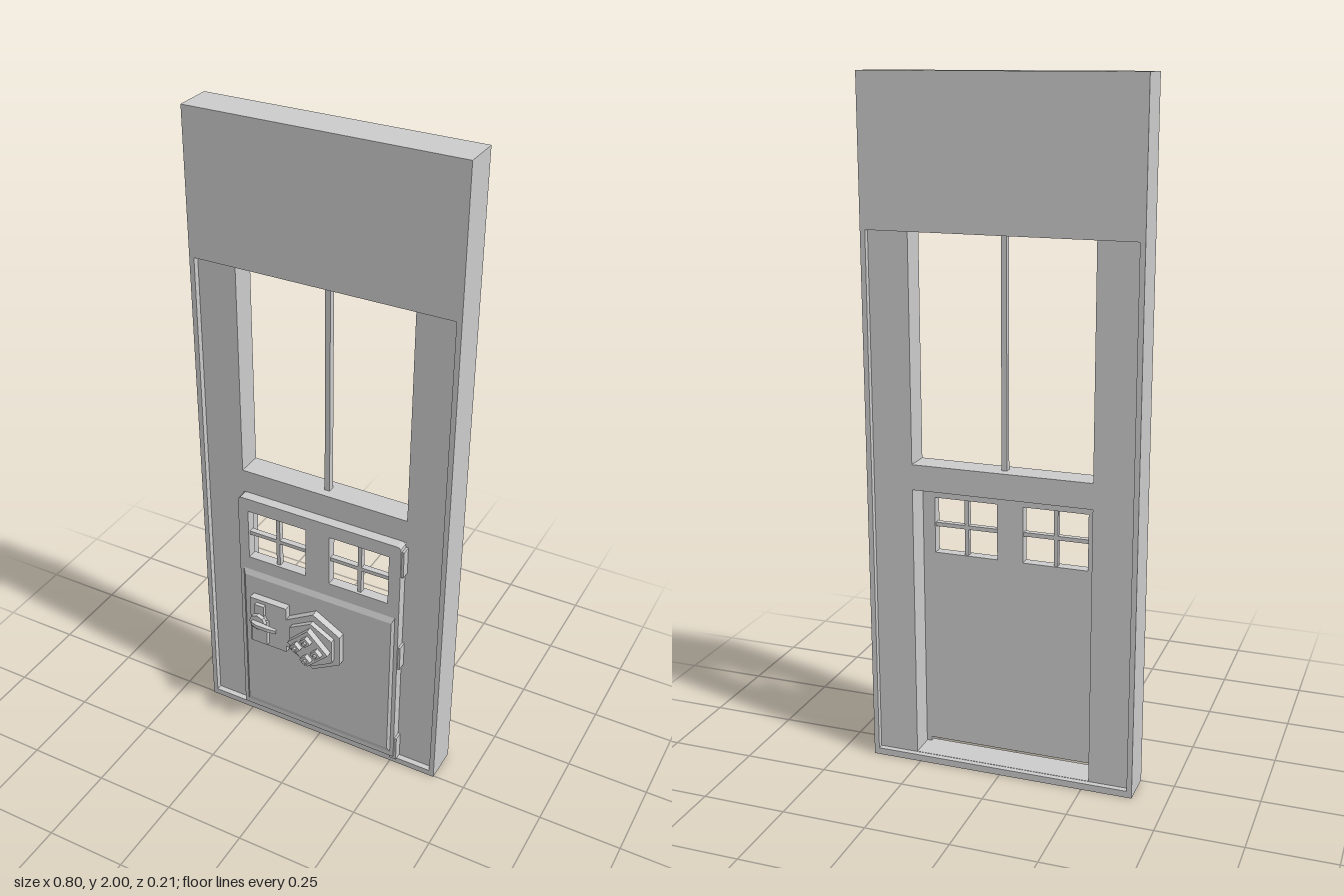
import * as THREE from 'three';

const material = new THREE.MeshStandardMaterial({ color: 0xcccccc, flatShading: true });

function add(parent, name, geometry, x = 0, y = 0, z = 0) {
  const mesh = new THREE.Mesh(geometry, material);
  mesh.name = name;
  mesh.position.set(x, y, z);
  parent.add(mesh);
  return mesh;
}

// Box given by its limits on each axis
function block(parent, name, x0, x1, y0, y1, z0, z1) {
  return add(parent, name, new THREE.BoxGeometry(x1 - x0, y1 - y0, z1 - z0),
    (x0 + x1) / 2, (y0 + y1) / 2, (z0 + z1) / 2);
}

const polygon = (points) => new THREE.Shape(points.map(([x, y]) => new THREE.Vector2(x, y)));
const rect = (x0, x1, y0, y1) => polygon([[x0, y0], [x1, y0], [x1, y1], [x0, y1]]);

// Flat plate with holes between two depths
function plate(parent, name, shape, holes, z0, z1) {
  shape.holes.push(...holes);
  const geometry = new THREE.ExtrudeGeometry(shape, { depth: z1 - z0, bevelEnabled: false, curveSegments: 3 });
  return add(parent, name, geometry, 0, 0, z0);
}

// Prism facing forward, one corner pointing up
function prism(parent, name, x, y, radius, sides, z0, z1, topRadius = radius) {
  const geometry = new THREE.CylinderGeometry(topRadius, radius, z1 - z0, sides);
  geometry.rotateX(Math.PI / 2);
  geometry.rotateZ(Math.PI);
  return add(parent, name, geometry, x, y, (z0 + z1) / 2);
}

export function createModel() {
  const model = new THREE.Group();
  model.name = 'doorway';

  // Surrounding wall and the recessed panel it holds
  plate(model, 'outerFrame', rect(-0.4, 0.4, 0, 2), [rect(-0.385, 0.385, 0.02, 1.58)], -0.107, 0.004);
  plate(model, 'innerPanel', rect(-0.385, 0.385, 0.02, 1.58),
    [rect(-0.267, 0.267, 0.92, 1.579), rect(-0.267, 0.267, 0.021, 0.845)], -0.09, -0.014);
  block(model, 'windowBar', -0.008, 0.008, 0.92, 1.58, -0.06, -0.04);

  // Door slab with two small windows
  const door = new THREE.Group();
  door.name = 'door';
  model.add(door);
  const outline = new THREE.Shape();
  outline.moveTo(-0.267, 0.035);
  outline.lineTo(0.267, 0.035);
  outline.lineTo(0.267, 0.833);
  outline.quadraticCurveTo(0.267, 0.847, 0.253, 0.847);
  outline.lineTo(-0.253, 0.847);
  outline.quadraticCurveTo(-0.267, 0.847, -0.267, 0.833);
  outline.closePath();
  const panes = [[-0.234, -0.04], [0.038, 0.23]];
  plate(door, 'doorSlab', outline, panes.map(([a, b]) => rect(a, b, 0.635, 0.803)), -0.014, 0.018);
  for (const [a, b] of panes) {
    const mid = (a + b) / 2;
    block(door, 'paneBarUpright', mid - 0.006, mid + 0.006, 0.635, 0.803, -0.008, 0.01);
    block(door, 'paneBarLevel', a, b, 0.714, 0.726, -0.008, 0.01);
  }

  // Raised lower field with sloping borders
  const field = block(door, 'raisedField', -0.262, 0.262, 0.035, 0.605, 0.012, 0.025);
  const p = field.geometry.attributes.position;
  for (let i = 0; i < p.count; i++) {
    if (p.getZ(i) > 0) {
      p.setX(i, Math.sign(p.getX(i)) * 0.247);
      p.setY(i, Math.sign(p.getY(i)) * 0.25);
    }
  }

  // Hinges
  for (const [y0, y1] of [[0.022, 0.11], [0.395, 0.478], [0.74, 0.83]]) {
    block(door, 'hinge', 0.252, 0.274, y0, y1, -0.014, 0.013);
  }

  // Lock plate joined to the hexagonal mount
  const lock = new THREE.Group();
  lock.name = 'lock';
  door.add(lock);
  const cy = 0.415;
  plate(lock, 'lockPlate', polygon([
    [-0.218, 0.338], [-0.093, 0.338], [-0.093, 0.364], [0, 0.308], [0.091, 0.362],
    [0.091, 0.468], [0, 0.522], [-0.093, 0.466], [-0.093, 0.507], [-0.218, 0.507],
  ]), [], 0.024, 0.048);
  prism(lock, 'hexagonStep', 0, cy, 0.083, 6, 0.047, 0.064);
  prism(lock, 'diamondStep', 0, cy, 0.069, 4, 0.063, 0.084);

  // Four studs on the diamond
  for (const [dx, dy] of [[0, 1], [1, 0], [0, -1], [-1, 0]]) {
    const x = dx * 0.035, y = cy + dy * 0.035;
    prism(lock, 'stud', x, y, 0.018, 4, 0.083, 0.1);
    prism(lock, 'studTip', x, y, 0.007, 6, 0.099, 0.107);
  }

  // Lever handle with its backing blocks
  block(lock, 'handleBlock', -0.207, -0.153, 0.352, 0.437, 0.047, 0.062);
  block(lock, 'latchBlock', -0.196, -0.164, 0.46, 0.495, 0.047, 0.06);
  prism(lock, 'spindle', -0.18, 0.44, 0.02, 8, 0.047, 0.066);
  prism(lock, 'spindleCollar', -0.18, 0.44, 0.027, 8, 0.062, 0.075);
  const lever = add(lock, 'lever', new THREE.ExtrudeGeometry(
    polygon([[-0.195, -0.074], [-0.155, -0.076], [-0.107, -0.08], [-0.107, -0.089], [-0.135, -0.093],
      [-0.175, -0.093], [-0.195, -0.084]].reverse()),
    { depth: 0.012, bevelEnabled: false }), 0, 0.434, 0);
  lever.rotation.x = -Math.PI / 2;
  lever.scale.y = 1;
  lever.geometry.scale(1, 1, 1);
  return model;
}
